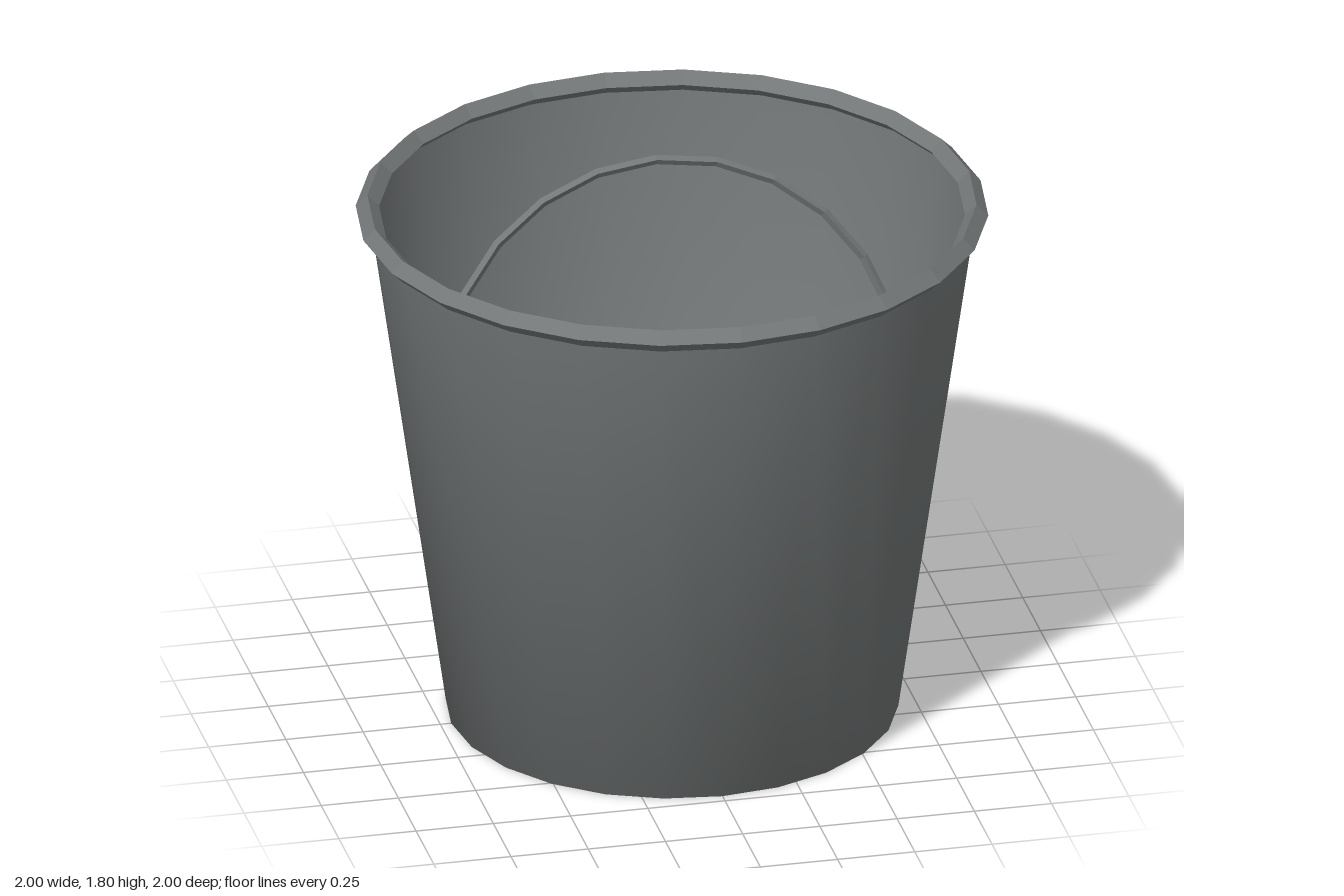
import * as THREE from 'three';

const SIDES = 24;

// ring with a faceted square section
function facetedRing(radius, tube) {
  const geo = new THREE.TorusGeometry(radius, tube, 4, SIDES).toNonIndexed();
  geo.computeVertexNormals();
  return geo;
}

export function createModel() {
  const group = new THREE.Group();
  const grey = new THREE.MeshStandardMaterial({ name: 'grey metal', color: 0x737777, side: THREE.DoubleSide });

  const add = (name, geo) => {
    const mesh = new THREE.Mesh(geo, grey);
    mesh.name = name;
    group.add(mesh);
    return mesh;
  };

  // thin tapered shell with floor, smooth across the bottom edge
  const profile = [[0, 0], [0.715, 0], [0.96, 1.715]].map(([r, y]) => new THREE.Vector2(r, y));
  add('bucketBody', new THREE.LatheGeometry(profile, SIDES));

  // rolled rim with a diamond section
  const rim = add('rim', facetedRing(0.962, 0.037));
  rim.rotation.x = Math.PI / 2;
  rim.position.y = 1.715;

  // carrying ring, leaning back inside the bucket
  const handle = add('handle', facetedRing(0.747, 0.015));
  handle.rotation.x = -0.305;
  handle.position.y = 1.077;

  return group;
}
